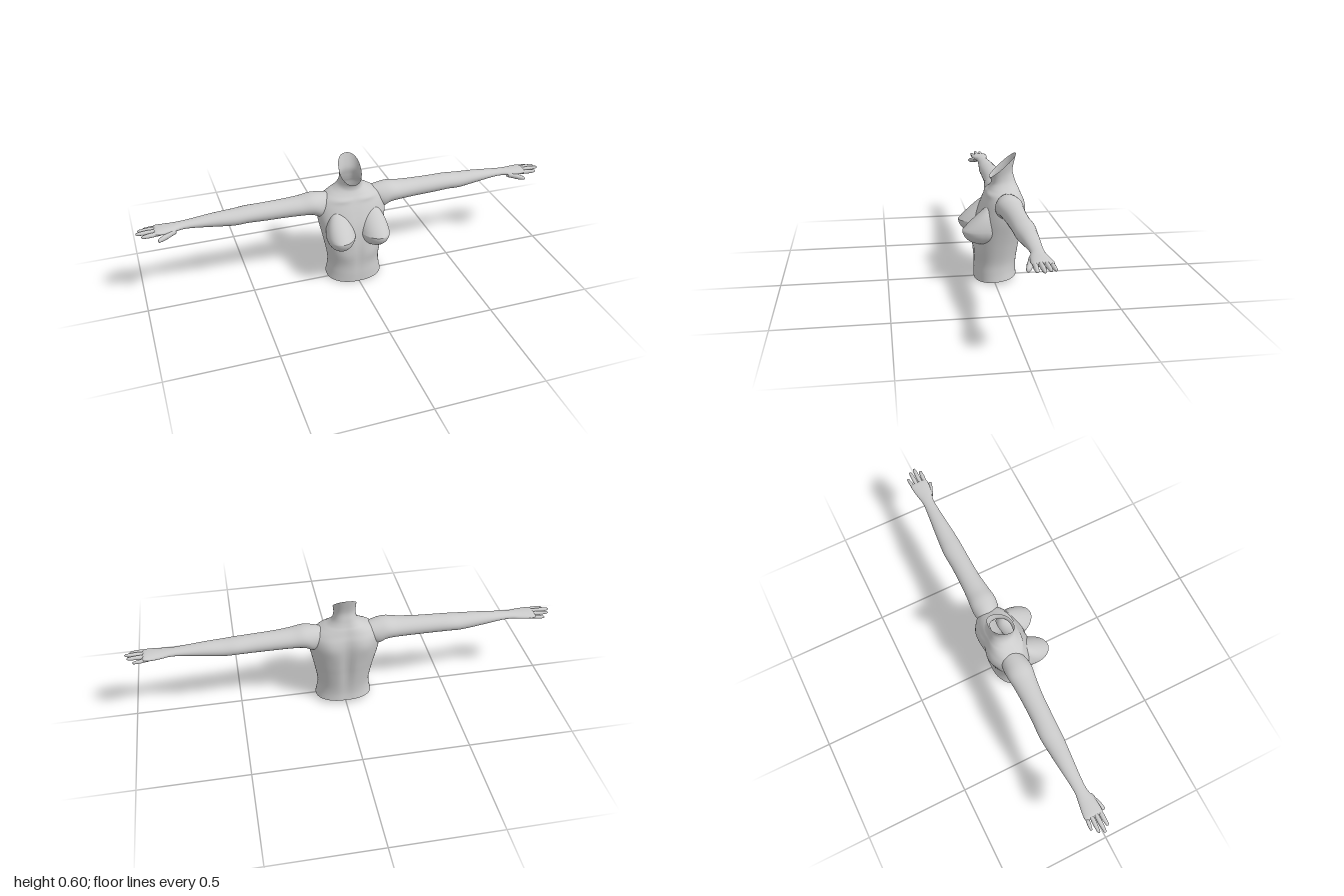
import * as THREE from 'three';

const skin = new THREE.MeshStandardMaterial({ color: 0xcccccc, side: THREE.DoubleSide });

// Smoothly resample rows of numbers with a Catmull-Rom rule
function resample(rows, steps) {
  const out = [];
  const cr = THREE.MathUtils.clamp;
  const last = rows.length - 1;
  for (let i = 0; i <= last * steps; i++) {
    const k = Math.min(Math.floor(i / steps), last - 1), t = i / steps - k;
    const [a, b, c, d] = [-1, 0, 1, 2].map((o) => rows[cr(k + o, 0, last)]);
    out.push(b.map((_, n) => 0.5 * (2 * b[n] + (c[n] - a[n]) * t
      + (2 * a[n] - 5 * b[n] + 4 * c[n] - d[n]) * t * t
      + (3 * b[n] - a[n] - 3 * c[n] + d[n]) * t * t * t)));
  }
  return out;
}

// Skin a list of rows; point(row, angle) gives each corner of a cross-section
function loft(rows, sides, point) {
  const pos = [], index = [];
  rows.forEach((row, i) => {
    for (let j = 0; j < sides; j++) {
      pos.push(...point(row, (j / sides) * Math.PI * 2));
      if (i === rows.length - 1) continue;
      const a = i * sides + j, b = i * sides + ((j + 1) % sides);
      index.push(a, a + sides, b, b, a + sides, b + sides);
    }
  });
  const geo = new THREE.BufferGeometry();
  geo.setAttribute('position', new THREE.Float32BufferAttribute(pos, 3));
  geo.setIndex(index);
  geo.computeVertexNormals();
  return geo;
}

// Limb along x: rows are [x, y centre, z centre, y radius, z radius]
const limb = (rows, sides, steps) => loft(resample(rows, steps), sides,
  ([x, y, z, ry, rz], t) => [x, y + ry * Math.cos(t), z - rz * Math.sin(t)]);

function mirrored(geo) {
  const g = geo.clone().scale(-1, 1, 1), ix = g.index.array;
  for (let i = 0; i < ix.length; i += 3) [ix[i], ix[i + 1]] = [ix[i + 1], ix[i]];
  g.computeVertexNormals();
  return g;
}

const bump = (x, y, w, h) => Math.exp(-((x / w) ** 2) - (y / h) ** 2);

// Torso and neck, open at the waist and at the slanted neck rim
function torsoGeometry() {
  // [y, tilt, half width, front z, back z]
  const rows = resample([
    [0.011, 0.11, 0.136, 0.087, -0.115],
    [0.05, 0.1, 0.128, 0.087, -0.112],
    [0.10, 0.08, 0.125, 0.086, -0.116],
    [0.18, 0.03, 0.138, 0.09, -0.128],
    [0.24, 0, 0.15, 0.085, -0.138],
    [0.30, 0, 0.162, 0.073, -0.146],
    [0.35, 0, 0.166, 0.056, -0.148],
    [0.39, 0, 0.16, 0.04, -0.143],
    [0.42, 0, 0.138, 0.026, -0.133],
    [0.44, 0.05, 0.105, 0.015, -0.125],
    [0.455, 0.1, 0.078, 0.007, -0.117],
    [0.475, 0.25, 0.058, 0.002, -0.108],
    [0.505, 0.5, 0.05, 0.003, -0.1],
    [0.545, 0.88, 0.053, 0.011, -0.115],
  ], 5);
  return loft(rows, 72, ([y, tilt, hw, zf, zb], t) => {
    const c = Math.cos(t), s = Math.sin(t), e = 0.9;
    const x = hw * Math.sign(c) * Math.abs(c) ** e;
    const dz = ((zf - zb) / 2) * Math.sign(s) * Math.abs(s) ** e;
    let z = (zf + zb) / 2 + dz;
    if (s < 0) { // spine groove and shoulder blades
      z += 0.014 * bump(x, y - 0.24, 0.025, 0.17);
      z -= 0.01 * bump(Math.abs(x) - 0.085, y - 0.36, 0.045, 0.06) * -s;
    } else { // midline, collarbones and ribcage edge
      z -= 0.004 * bump(x, y - 0.2, 0.015, 0.15);
      z += 0.006 * bump(Math.abs(x) - 0.07, y - 0.42, 0.05, 0.012) * s;
      z += 0.005 * bump(Math.abs(x) - 0.07, y - 0.15, 0.04, 0.03) * s;
    }
    return [x, y - tilt * dz, z];
  });
}

// Bust: a sphere with a long upper slope and a full lower curve
function breastGeometry() {
  const geo = new THREE.SphereGeometry(1, 40, 28, 0, Math.PI * 2, 0, Math.PI * 0.8);
  geo.rotateX(Math.PI / 2);
  const p = geo.attributes.position;
  for (let i = 0; i < p.count; i++) {
    const x = p.getX(i), y = p.getY(i), z = p.getZ(i), up = Math.max(y, 0);
    const depth = z > 0 ? 0.1 * (1 - 0.62 * up) : 0.08;
    p.setXYZ(i, 0.08 + 0.07 * x * (1 - 0.15 * up) + 0.012 * Math.max(z, 0),
      0.263 + y * (y > 0 ? 0.115 : 0.073),
      0.05 + z * depth - 0.035 * up);
  }
  geo.computeVertexNormals();
  return geo;
}

// Arm from inside the shoulder to the knuckles
const armRows = [
  [0.10, 0.392, -0.06, 0.04, 0.045],
  [0.15, 0.383, -0.055, 0.06, 0.06],
  [0.195, 0.394, -0.054, 0.052, 0.062],
  [0.25, 0.392, -0.055, 0.046, 0.056],
  [0.33, 0.39, -0.058, 0.043, 0.05],
  [0.42, 0.389, -0.06, 0.041, 0.048],
  [0.50, 0.389, -0.063, 0.038, 0.049],
  [0.56, 0.386, -0.062, 0.037, 0.046],
  [0.65, 0.389, -0.062, 0.03, 0.038],
  [0.75, 0.391, -0.061, 0.019, 0.029],
  [0.80, 0.390, -0.06, 0.016, 0.028],
  [0.84, 0.387, -0.058, 0.016, 0.036],
  [0.88, 0.386, -0.058, 0.015, 0.042],
  [0.912, 0.387, -0.059, 0.011, 0.043],
  [0.922, 0.387, -0.059, 0.002, 0.03],
];

// Finger or thumb between two points, with a rounded tip
function digit(a, b, r) {
  const rows = [[0, 1], [0.3, 0.95], [0.5, 1], [0.75, 0.85], [0.93, 0.65], [0.985, 0.35], [1, 0.02]]
    .map(([t, k]) => [...a.map((v, i) => v + (b[i] - v) * t), r * k, r * k]);
  return limb(rows, 14, 3);
}

const digits = {
  thumb: digit([0.825, 0.382, -0.035], [0.91, 0.361, -0.003], 0.014),
  indexFinger: digit([0.895, 0.385, -0.028], [0.978, 0.382, -0.024], 0.0105),
  middleFinger: digit([0.895, 0.388, -0.049], [1.0, 0.388, -0.048], 0.0105),
  ringFinger: digit([0.895, 0.388, -0.07], [0.99, 0.387, -0.073], 0.01),
  littleFinger: digit([0.89, 0.384, -0.089], [0.965, 0.379, -0.097], 0.009),
};

export function createModel() {
  const model = new THREE.Group();
  const add = (parent, name, geo) => {
    const mesh = new THREE.Mesh(geo, skin);
    mesh.name = name;
    parent.add(mesh);
  };

  add(model, 'torsoAndNeck', torsoGeometry());

  const breast = breastGeometry(), arm = limb(armRows, 36, 5);
  for (const side of ['left', 'right']) {
    const place = (g) => (side === 'left' ? g : mirrored(g));
    add(model, side + 'Breast', place(breast));
    add(model, side + 'Arm', place(arm));
    const hand = new THREE.Group();
    hand.name = side + 'Fingers';
    for (const [name, geo] of Object.entries(digits)) add(hand, name, place(geo));
    model.add(hand);
  }
  return model;
}
